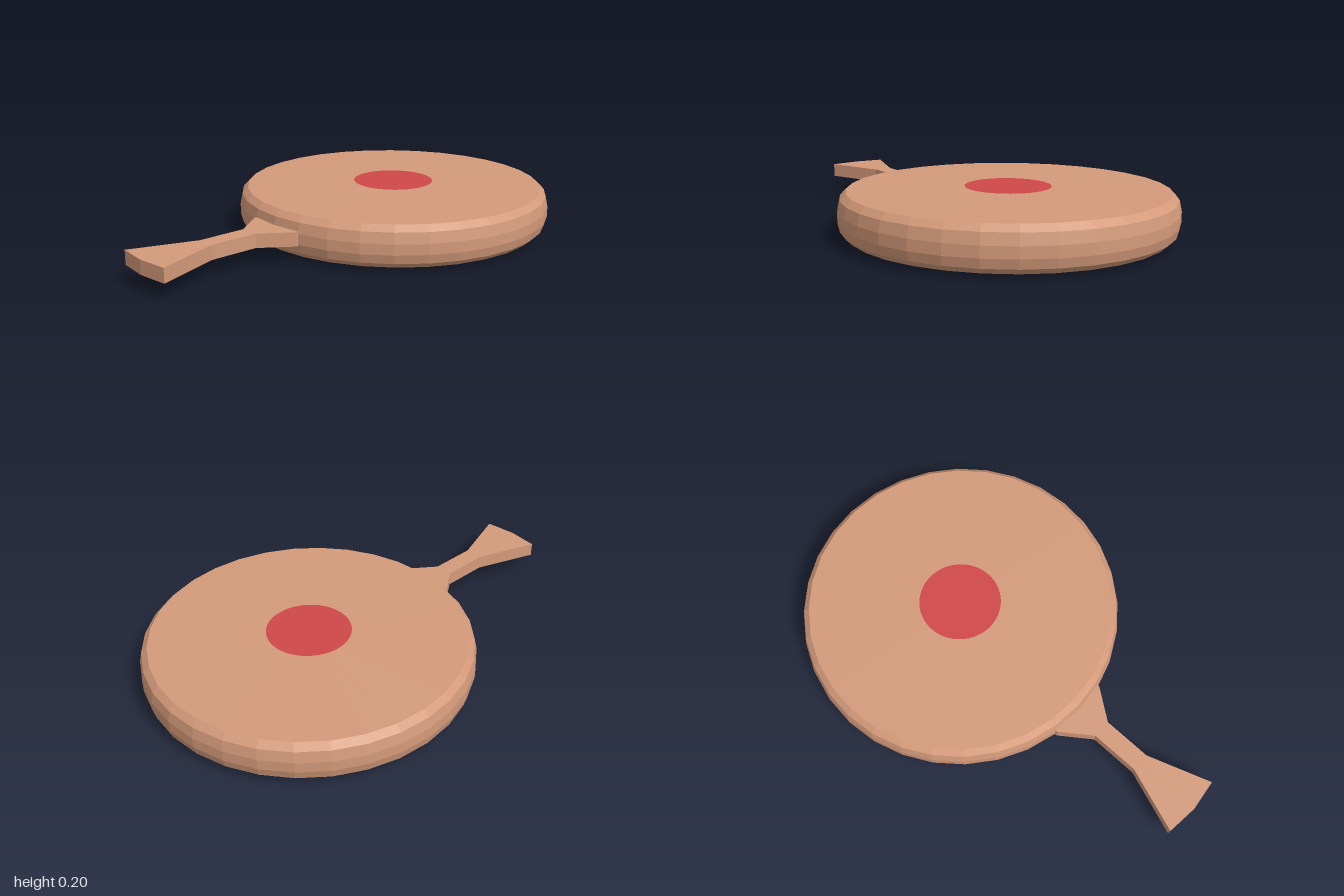
import * as THREE from 'three';

const DISC_Z = -0.31;

export function createModel() {
  const group = new THREE.Group();
  const tan = new THREE.MeshStandardMaterial({ color: 0xd49a7a, flatShading: true });
  const red = new THREE.MeshStandardMaterial({ color: 0xd04848 });

  const add = (name, geometry, material) => {
    const mesh = new THREE.Mesh(geometry, material);
    mesh.name = name;
    group.add(mesh);
    return mesh;
  };

  // Round body: faceted rounded rim with a faintly domed top
  const profile = [
    [0, 0], [0.6, 0.002], [0.655, 0.014], [0.68, 0.037], [0.69, 0.075],
    [0.69, 0.12], [0.68, 0.165], [0.655, 0.19], [0.18, 0.198], [0, 0.199],
  ].map(([r, y]) => new THREE.Vector2(r, y));
  add('body', new THREE.LatheGeometry(profile, 32), tan).position.z = DISC_Z;

  // Coloured spot in the middle of the top
  const spot = add('centreSpot', new THREE.CircleGeometry(0.176, 64), red);
  spot.rotation.x = -Math.PI / 2;
  spot.position.set(0, 0.2, DISC_Z);

  // Flat handle, flared at both ends, with a slightly pointed tip;
  // half outline as [x, z], mirrored across x = 0
  const half = [[0.135, 0.35], [0.135, 0.375], [0.04, 0.505], [0.04, 0.715], [0.135, 0.985]];
  const outline = [
    ...half,
    [0, 1],
    ...half.map(([x, z]) => [-x, z]).reverse(),
  ].map(([x, z]) => new THREE.Vector2(x, z));
  const handleGeometry = new THREE.ExtrudeGeometry(new THREE.Shape(outline), {
    depth: 0.06, bevelEnabled: false,
  });
  handleGeometry.rotateX(Math.PI / 2);
  add('handle', handleGeometry, tan).position.y = 0.13;

  return group;
}
